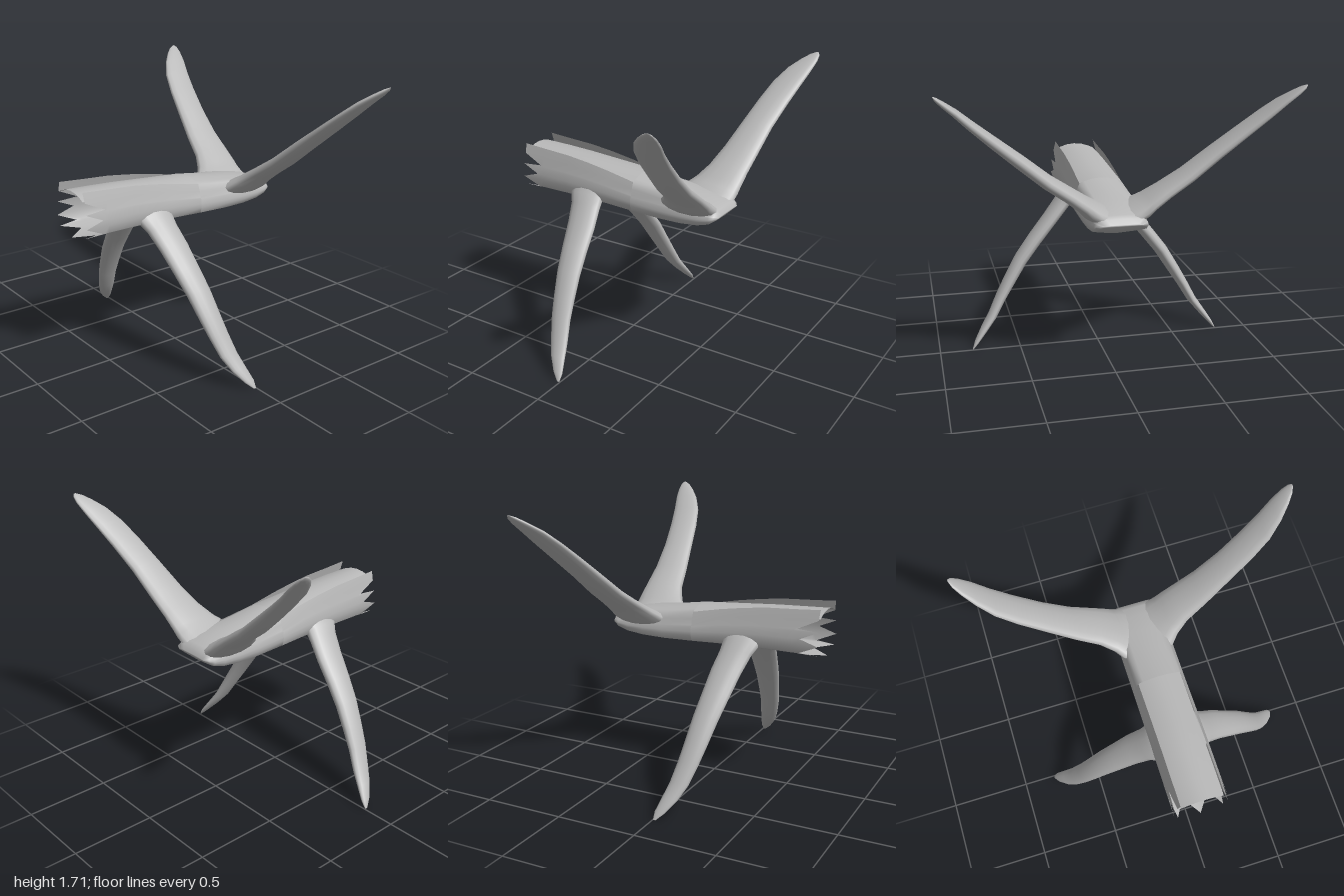
import * as THREE from 'three';

const grey = new THREE.MeshStandardMaterial({ color: 0xb8b8b8, side: THREE.DoubleSide });
grey.name = 'grey';

// Skins rows of points into one smooth surface; closed joins the last column to the first.
function loft(name, rows, closed) {
  const n = rows[0].length, index = [];
  for (let r = 0; r < rows.length - 1; r++) {
    for (let c = 0; c < (closed ? n : n - 1); c++) {
      const a = r * n + c, b = r * n + (c + 1) % n;
      index.push(a, b, a + n, b, b + n, a + n);
    }
  }
  const g = new THREE.BufferGeometry();
  g.setAttribute('position', new THREE.Float32BufferAttribute(rows.flat(2), 3));
  g.setIndex(index);
  g.computeVertexNormals();
  const mesh = new THREE.Mesh(g, grey);
  mesh.name = name;
  return mesh;
}

// Half of the hull section from upper rim to keel: x, height fraction, front z (the torn edge)
const hullHalf = [
  [0.13, 1, 0.73], [0.145, 0.8, 0.725], [0.155, 0.61, 0.60], [0.16, 0.58, 0.73], [0.165, 0.42, 0.62],
  [0.165, 0.3, 0.73], [0.155, 0.13, 0.61], [0.14, 0.1, 0.73], [0.08, 0.04, 0.62], [0, 0, 0.735],
];
const hullFull = [...hullHalf, ...hullHalf.slice(0, -1).reverse().map(([x, f, z]) => [-x, f, z])];

// Body stations: z, spine height, rim height, keel height, width scale
const front = [
  [0.73, 1.14, 1.16, 0.86, 1], [0.58, 1.133, 1.15, 0.865, 1], [0.4, 1.125, 1.14, 0.867, 1],
  [0.25, 1.115, 1.122, 0.867, 1], [0.1, 1.105, 1.098, 0.867, 1], [-0.08, 1.093, 1.063, 0.863, 1],
];
const rear = [
  front[5], [-0.28, 1.062, 1.04, 0.86, 1], [-0.42, 1.045, 1.03, 0.865, 1], [-0.53, 1.025, 1.015, 0.88, 0.98],
  [-0.6, 1.005, 1.0, 0.905, 0.95], [-0.63, 0.99, 0.985, 0.93, 0.9], [-0.648, 0.96, 0.96, 0.95, 0.7],
  [-0.648, 0.955, 0.955, 0.955, 0],
];
const hullRow = ([z, , rim, keel, w], torn) =>
  hullFull.map(([x, f, tz]) => [x * w, keel + (rim - keel) * f, torn ? tz : z]);
const spineRow = ([z, top, , , w], drop) =>
  [-0.13, -0.1, -0.05, 0, 0.05, 0.1, 0.13].map((x) => [x * w, top - drop * (x / 0.13) ** 2, z]);

// Fin stations: x, y, leading z, trailing z, thickness
const upperFin = [
  [0.08, 0.97, -0.26, -0.63, 0.12], [0.15, 1.01, -0.285, -0.632, 0.11], [0.19, 1.045, -0.325, -0.632, 0.095],
  [0.27, 1.105, -0.37, -0.632, 0.085], [0.4, 1.195, -0.405, -0.636, 0.08], [0.55, 1.32, -0.445, -0.65, 0.075],
  [0.7, 1.445, -0.485, -0.682, 0.062], [0.81, 1.54, -0.525, -0.712, 0.05], [0.89, 1.615, -0.58, -0.738, 0.04],
  [0.95, 1.665, -0.64, -0.75, 0.03], [0.985, 1.695, -0.685, -0.748, 0.02], [1.0, 1.71, -0.72, -0.735, 0.004],
];
const lowerFin = [
  [0.1, 0.96, 0.38, 0.12, 0.1], [0.15, 0.91, 0.365, 0.13, 0.1], [0.19, 0.86, 0.335, 0.128, 0.09],
  [0.27, 0.765, 0.305, 0.11, 0.085], [0.37, 0.645, 0.277, 0.1, 0.085], [0.46, 0.53, 0.25, 0.088, 0.082],
  [0.54, 0.4, 0.22, 0.075, 0.075], [0.6, 0.3, 0.195, 0.062, 0.065], [0.66, 0.19, 0.16, 0.04, 0.055],
  [0.72, 0.11, 0.118, 0.018, 0.042], [0.77, 0.045, 0.065, 0, 0.026], [0.797, 0.005, 0.02, 0.003, 0.006],
];

// Flattened oval sections set square to the run of the fin; side mirrors in x.
function fin(name, stations, side) {
  const rows = stations.map(([x, y, lead, trail, t], i) => {
    const a = stations[Math.max(i - 1, 0)], b = stations[Math.min(i + 1, stations.length - 1)];
    const dx = b[0] - a[0], dy = b[1] - a[1], len = Math.hypot(dx, dy);
    return Array.from({ length: 14 }, (_, k) => {
      const ang = (k / 14) * Math.PI * 2, off = Math.sin(ang) * t / 2;
      return [side * (x - dy / len * off), y + dx / len * off, (lead + trail) / 2 + Math.cos(ang) * (lead - trail) / 2];
    });
  });
  const [tx, ty, tl, tt] = stations[stations.length - 1];
  rows.push(rows[0].map(() => [side * tx, ty, (tl + tt) / 2]));
  return loft(name, rows, true);
}

export function createModel() {
  const model = new THREE.Group();
  model.name = 'finnedTail';

  // Open front: a torn hull with raised rims and a separate top plate between them
  model.add(loft('frontHull', front.map((s, i) => hullRow(s, i === 0)), false));
  model.add(loft('topPlate', front.map((s, i) => spineRow(s, i === 0 ? 0.035 : 0.03)), false));

  // Closed rear body tapering to a blunt edge
  const rearRows = rear.map((s) => [...hullRow(s, false), ...spineRow(s, s[1] - s[2]).slice(1, -1)]);
  model.add(loft('rearBody', rearRows, true));

  // Four swept fins
  for (const [label, side] of [['left', 1], ['right', -1]]) {
    model.add(fin(label + 'UpperFin', upperFin, side));
    model.add(fin(label + 'LowerFin', lowerFin, side));
  }
  return model;
}
